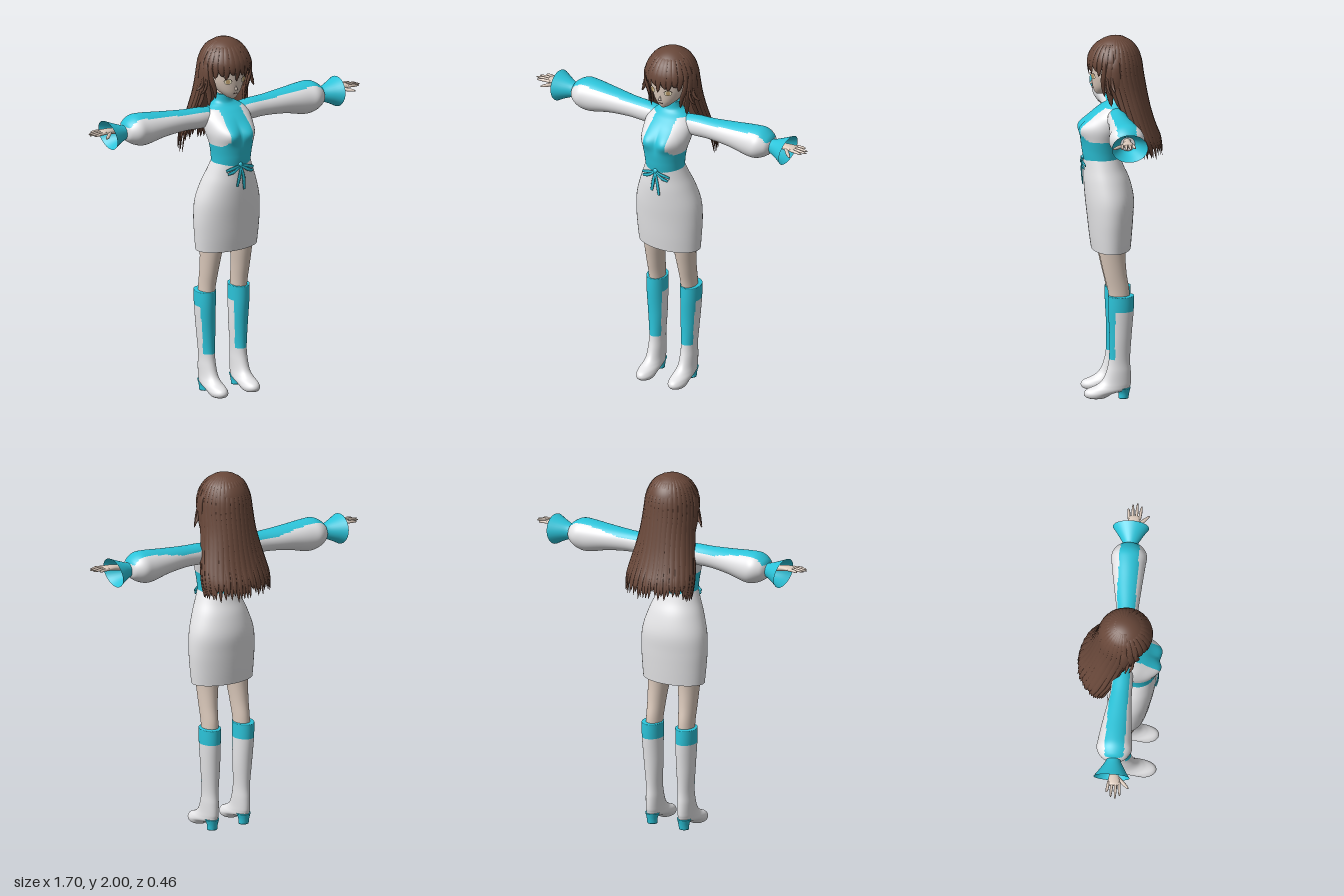
import * as THREE from 'three';

const mat = (name, color, side = THREE.FrontSide) =>
  Object.assign(new THREE.MeshStandardMaterial({ color, side }), { name });
const white = mat('white cloth', 0xe6e6e8, THREE.DoubleSide);
const cyan = mat('cyan cloth', 0x2cc4da, THREE.DoubleSide);
const hairMat = mat('brown hair', 0x69483a, THREE.DoubleSide);
const skin = mat('skin', 0xdccabc);
const eyeMat = mat('pale eye', 0xeadfc0);
const irisMat = mat('amber iris', 0xb89a6a);
const dark = mat('dark line', 0x3c2a24);
const V = (x, y, z) => new THREE.Vector3(x, y, z);
const TAU = Math.PI * 2;
let seed = 7;
const rand = () => (seed = (seed * 16807) % 2147483647) / 2147483647;

// Skin rows of points into a tube; pick(centre) chooses a material index per face
function skinRows(name, rows, mats, { pick = () => 0, caps = true } = {}) {
  const n = rows[0].length, pts = rows.flat(), lists = mats.map(() => []);
  const face = (...ix) => {
    const mid = ix.reduce((s, i) => s.add(pts[i]), V(0, 0, 0)).divideScalar(ix.length);
    lists[pick(mid)].push(ix[0], ix[1], ix[2]);
    if (ix.length === 4) lists[pick(mid)].push(ix[0], ix[2], ix[3]);
  };
  for (let i = 0; i < rows.length - 1; i++) for (let j = 0; j < n; j++) {
    const a = i * n + j, b = i * n + (j + 1) % n;
    face(a, a + n, b + n, b);
  }
  if (caps) [0, rows.length - 1].forEach(r => {
    const k = pts.push(rows[r].reduce((s, p) => s.add(p), V(0, 0, 0)).divideScalar(n)) - 1;
    for (let j = 0; j < n; j++) {
      const a = r * n + j, b = r * n + (j + 1) % n;
      if (r) face(a, k, b); else face(a, b, k);
    }
  });
  const g = new THREE.BufferGeometry().setFromPoints(pts).setIndex(lists.flat());
  if (mats.length > 1) lists.reduce((at, l, i) => { g.addGroup(at, l.length, i); return at + l.length; }, 0);
  g.computeVertexNormals();
  return named(name, new THREE.Mesh(g, mats.length > 1 ? mats : mats[0]));
}
const named = (name, mesh) => Object.assign(mesh, { name });

// Smoothly interpolate between stations (rows of numbers)
function smooth(st, steps) {
  const at = i => st[Math.max(0, Math.min(st.length - 1, i))];
  return Array.from({ length: (st.length - 1) * steps + 1 }, (_, m) => {
    const i = Math.floor(m / steps), t = (m % steps) / steps;
    const [p, a, b, q] = [at(i - 1), at(i), at(i + 1), at(i + 2)];
    return a.map((v, j) => {
      const c3 = 3 * (v - b[j]) + q[j] - p[j], c2 = 2 * p[j] - 5 * v + 4 * b[j] - q[j];
      return v + 0.5 * t * (b[j] - p[j] + t * (c2 + t * c3));
    });
  });
}

// Elliptical loft: axis y uses [y, xc, rx, zc, rz]; axis x uses [x, yc, ry, zc, rz]
function loft(name, axis, st, mats, { n = 32, steps = 5, deform = p => p, ...opt } = {}) {
  const rows = smooth(st, steps).map(([t, ca, ra, cb, rb]) => Array.from({ length: n }, (_, j) => {
    const c = Math.cos(j / n * TAU), s = Math.sin(j / n * TAU);
    return deform(axis === 'y' ? V(ca + ra * c, t, cb + rb * s) : V(t, ca + ra * s, cb + rb * c));
  }));
  return skinRows(name, rows, mats, opt);
}

// Flattened strip along a curve; root and tip scale its width at the two ends
function strand(name, pts, w, th, m, { out, tip = 0.04, steps = 12, root = 0.55 } = {}) {
  const curve = new THREE.CatmullRomCurve3(pts);
  const rows = Array.from({ length: steps + 1 }, (_, i) => {
    const t = i / steps, p = curve.getPoint(t), T = curve.getTangent(t);
    const O = out || p.clone().sub(V(0, Math.min(p.y, 1.85), 0.03));
    const A = T.clone().cross(O).normalize(), N = A.clone().cross(T);
    const f = t < 0.6 ? root + (1 - root) * t / 0.6 : tip + (1 - tip) * Math.sqrt(Math.max(0, (1 - t) / 0.4));
    return Array.from({ length: 8 }, (_, j) => p.clone().addScaledVector(A, w * f * Math.cos(j / 8 * TAU))
      .addScaledVector(N, th * f * Math.sin(j / 8 * TAU)));
  });
  return skinRows(name, rows, [m]);
}

// Add a mesh and its mirror image across x = 0
function addPair(group, mesh) {
  mesh.updateMatrix();
  const g = mesh.geometry.clone().applyMatrix4(mesh.matrix).scale(-1, 1, 1), ix = g.index.array;
  for (let i = 0; i < ix.length; i += 3) [ix[i], ix[i + 1]] = [ix[i + 1], ix[i]];
  group.add(named('right ' + mesh.name, new THREE.Mesh(g, mesh.material)), named('left ' + mesh.name, mesh));
}

function addBody(g) {
  // Bodice with belt, front panel and collar
  const bust = p => {
    const d = ((Math.abs(p.x) - 0.06) / 0.06) ** 2 + ((p.y - 1.495) / 0.05) ** 2;
    if (p.z > 0.09) p.z += 0.04 * Math.min(1, (p.z - 0.09) / 0.06) * Math.exp(-d);
    return p;
  };
  g.add(loft('bodice', 'y', [
    [1.3, 0, 0.106, 0.108, 0.095], [1.32, 0, 0.108, 0.108, 0.1], [1.37, 0, 0.112, 0.11, 0.107],
    [1.43, 0, 0.122, 0.108, 0.113], [1.5, 0, 0.138, 0.085, 0.117], [1.56, 0, 0.137, 0.062, 0.105],
    [1.6, 0, 0.115, 0.045, 0.08], [1.625, 0, 0.08, 0.033, 0.055], [1.645, 0, 0.053, 0.03, 0.045],
    [1.685, 0, 0.046, 0.032, 0.042]], [white, cyan], { n: 96, steps: 8, deform: bust,
    pick: p => +(p.y < 1.43 || p.y > 1.61 || (p.z > 0.05 && Math.abs(p.x) < 0.066 + Math.max(0, 1.46 - p.y))) }));
  g.add(loft('skirt', 'y', [
    [0.82, 0, 0.183, 0.06, 0.107], [0.9, 0, 0.19, 0.062, 0.116], [1, 0, 0.195, 0.064, 0.125],
    [1.1, 0, 0.188, 0.068, 0.132], [1.2, 0, 0.158, 0.083, 0.124], [1.27, 0, 0.13, 0.098, 0.108],
    [1.325, 0, 0.109, 0.108, 0.099]], [white], { n: 48, caps: false }));
  g.add(loft('neck', 'y', [[1.6, 0, 0.036, 0.032, 0.036], [1.76, 0, 0.036, 0.04, 0.036]], [skin]));
  // Waist bow
  const knot = new THREE.SphereGeometry(0.014, 16, 10).scale(1, 1, 0.7).translate(0, 1.322, 0.212);
  g.add(named('bow knot', new THREE.Mesh(knot, cyan)));
  const ribbon = (n, pts) => strand(n, pts, 0.01, 0.004, cyan, { out: V(0, 0, 1), tip: 0.7, root: 0.5 });
  addPair(g, ribbon('bow upper loop', [V(0, 1.322, 0.215), V(0.045, 1.31, 0.217), V(0.085, 1.295, 0.203)]));
  addPair(g, ribbon('bow lower loop', [V(0, 1.318, 0.215), V(0.04, 1.292, 0.219), V(0.078, 1.277, 0.21)]));
  g.add(ribbon('bow tail', [V(0, 1.32, 0.214), V(-0.008, 1.27, 0.218), V(-0.022, 1.2, 0.214)]));
  g.add(ribbon('bow tail', [V(0, 1.32, 0.214), V(0.014, 1.26, 0.218), V(0.023, 1.18, 0.214)]));
}

function addLimbs(g) {
  // Full sleeve with a stripe along the top, then a flared cuff
  addPair(g, loft('sleeve', 'x', [
    [0.06, 1.56, 0.05, 0.035, 0.045], [0.15, 1.564, 0.058, 0.035, 0.056], [0.25, 1.567, 0.058, 0.032, 0.06],
    [0.38, 1.566, 0.069, 0.025, 0.076], [0.5, 1.559, 0.088, 0.02, 0.091], [0.56, 1.563, 0.082, 0.02, 0.095],
    [0.605, 1.563, 0.056, 0.02, 0.068], [0.622, 1.56, 0.033, 0.02, 0.035]], [white, cyan],
  { n: 64, steps: 6, pick: p => +(p.y > 1.595 && Math.abs(p.z - 0.022) < 0.052) }));
  addPair(g, loft('cuff', 'x', [[0.605, 1.558, 0.036, 0.02, 0.034], [0.635, 1.558, 0.044, 0.02, 0.045],
    [0.68, 1.558, 0.062, 0.018, 0.072], [0.718, 1.558, 0.08, 0.017, 0.098]], [cyan],
  { caps: false, deform: p => p.setX(p.x + (p.y - 1.558) * 0.15 * (p.x - 0.6) / 0.118) }));
  // Hand
  addPair(g, loft('palm', 'x', [
    [0.6, 1.568, 0.02, 0.022, 0.022], [0.68, 1.58, 0.017, 0.026, 0.02], [0.72, 1.586, 0.015, 0.03, 0.027],
    [0.76, 1.588, 0.012, 0.032, 0.034], [0.775, 1.588, 0.008, 0.032, 0.032]], [skin], { n: 20 }));
  const digit = (name, pts, r) => addPair(g, strand(name, pts, r, r, skin, { out: V(0, 1, 0), tip: 0.3, root: 1 }));
  [[0.004, -0.004, 0.815], [0.023, 0.02, 0.84], [0.042, 0.044, 0.848], [0.06, 0.068, 0.832]].forEach(([z0, z1, x]) =>
    digit('finger', [V(0.755, 1.588, z0), V(0.79, 1.589, (z0 + z1) / 2), V(x, 1.586, z1)], 0.008));
  digit('thumb', [V(0.72, 1.582, 0.045), V(0.75, 1.578, 0.078), V(0.783, 1.575, 0.112)], 0.01);
  addPair(g, loft('leg', 'y', [
    [0.5, 0.102, 0.042, 0.018, 0.052], [0.6, 0.1, 0.043, 0.026, 0.058], [0.7, 0.098, 0.048, 0.045, 0.062],
    [0.82, 0.094, 0.058, 0.06, 0.072], [0.98, 0.092, 0.072, 0.064, 0.09]], [skin]));
  // Tall boot with coloured top band and shin panel
  addPair(g, loft('boot', 'y', [
    [0.004, 0.1, 0.034, 0.145, 0.046], [0.012, 0.1, 0.044, 0.145, 0.062], [0.03, 0.1, 0.05, 0.132, 0.082],
    [0.05, 0.1, 0.05, 0.088, 0.112], [0.072, 0.1, 0.046, 0.056, 0.094], [0.1, 0.1, 0.043, 0.037, 0.078],
    [0.15, 0.1, 0.042, 0.026, 0.066], [0.22, 0.1, 0.041, 0.021, 0.057], [0.35, 0.102, 0.05, 0.016, 0.06],
    [0.49, 0.106, 0.055, 0.014, 0.069], [0.575, 0.106, 0.056, 0.014, 0.07]], [white, cyan],
  { n: 64, steps: 8, pick: p => +(p.y > 0.49 || (p.y > 0.22 && p.z > 0.048)) }));
  addPair(g, loft('boot heel', 'y', [
    [0, 0.1, 0.028, 0, 0.027], [0.03, 0.1, 0.03, -0.002, 0.03], [0.06, 0.1, 0.04, 0.003, 0.042]], [cyan]));
}

function addHead(g) {
  g.add(loft('head', 'y', [
    [1.677, 0, 0.012, 0.122, 0.016], [1.69, 0, 0.034, 0.105, 0.043], [1.72, 0, 0.065, 0.085, 0.073],
    [1.76, 0, 0.088, 0.068, 0.095], [1.8, 0, 0.098, 0.06, 0.106], [1.85, 0, 0.1, 0.055, 0.112],
    [1.92, 0, 0.085, 0.045, 0.1], [1.965, 0, 0.04, 0.04, 0.05]], [skin], { n: 40 }));
  const nose = new THREE.ConeGeometry(0.009, 0.03, 10).rotateX(-0.25).translate(0, 1.748, 0.163);
  const mouth = new THREE.BoxGeometry(0.022, 0.0025, 0.004).translate(0, 1.712, 0.157);
  g.add(named('nose', new THREE.Mesh(nose, skin)), named('mouth', new THREE.Mesh(mouth, dark)));
  // Eyes as thin plates
  const plate = (name, geo, m, d) => addPair(g, named(name, new THREE.Mesh(
    geo.rotateY(0.5).translate(0.046 + d * 0.5, 1.785, 0.156 + d * 0.87), m)));
  plate('eye', new THREE.CircleGeometry(0.022, 24).scale(1, 0.7, 1), eyeMat, 0.004);
  plate('iris', new THREE.CircleGeometry(0.011, 20).scale(1, 1.25, 1), irisMat, 0.0055);
  plate('lash', new THREE.RingGeometry(0.021, 0.025, 20, 1, 0.25, Math.PI - 0.5).scale(1, 0.75, 1), dark, 0.006);
}

function addHair(g) {
  const cap = new THREE.SphereGeometry(1, 48, 20, 0, TAU, 0, 1.25).scale(0.137, 0.146, 0.143).translate(0, 1.85, 0.036);
  g.add(named('hair cap', new THREE.Mesh(cap, hairMat)));
  // Back hair profile: [y, rx, zc, rz]
  const prof = smooth([[1.985, 0.05, 0.035, 0.05], [1.95, 0.102, 0.035, 0.1], [1.88, 0.136, 0.035, 0.135],
    [1.8, 0.146, 0.03, 0.142], [1.7, 0.15, 0.002, 0.13], [1.6, 0.165, -0.03, 0.118], [1.5, 0.188, -0.06, 0.12],
    [1.42, 0.2, -0.085, 0.127], [1.34, 0.198, -0.095, 0.127]], 4);
  const onHair = (a, [y, rx, zc, rz], r) => V(rx * r * Math.sin(a), y, zc - rz * r * Math.cos(a));
  // Underlying curtain: an arc swept out and back to make a thin shell
  const arc = Array.from({ length: 30 }, (_, i) => -1.75 + 3.5 * i / 29);
  const rows = prof.slice(0, 28).reverse().map(s =>
    [...arc.map(a => onHair(a, s, 0.97)), ...arc.map(a => onHair(-a, s, 0.9))]);
  g.add(skinRows('back hair', rows, [hairMat], { caps: false }));
  // Long locks over the curtain
  for (let layer = 0; layer < 2; layer++) for (let i = 0; i < 19; i++) {
    const a = -1.72 + 3.44 * (i + layer * 0.5) / 18.5, end = 32 - Math.floor(rand() * 3) - layer;
    const pts = [0, 4, 8, 12, 16, 20, 24, 27, end].map((k, j) =>
      onHair(a * (j > 6 ? 0.975 + rand() * 0.05 : 1), prof[k], 0.985 + layer * 0.012));
    g.add(strand('long lock', pts, 0.024, 0.008, hairMat, { steps: 22, root: 0.35 }));
  }
  // Fringe
  [1.74, 1.76, 1.8, 1.815, 1.795, 1.82, 1.785, 1.81, 1.8, 1.82, 1.795, 1.77, 1.735].forEach((y, i) => {
    const a = (i - 6) / 6 * 1.3, b = a + (i % 2 ? 0.07 : -0.05);
    const at = (q, r, h) => V(0.138 * r * Math.sin(q), h, 0.036 + 0.145 * r * Math.cos(q));
    g.add(strand('fringe lock', [at(a, 0.25, 1.985), at(a, 0.68, 1.955), at(a, 0.95, 1.9), at(a, 1.02, 1.85),
      at(b, 0.98, y)], 0.022, 0.006, hairMat, { root: 0.4 }));
  });
  // Side locks framing the face
  const side = (w, pts) => addPair(g, strand('side lock', pts.map(p => V(...p)), w, 0.009, hairMat, { steps: 16 }));
  side(0.024, [[0.1, 1.94, 0.07], [0.134, 1.87, 0.075], [0.138, 1.79, 0.08], [0.118, 1.7, 0.075], [0.11, 1.63, 0.065]]);
  side(0.03, [[0.1, 1.94, 0.04], [0.14, 1.87, 0.045], [0.147, 1.78, 0.045], [0.138, 1.69, 0.035], [0.142, 1.6, 0]]);
  side(0.016, [[0.09, 1.94, 0.1], [0.125, 1.87, 0.105], [0.122, 1.8, 0.11], [0.103, 1.74, 0.11], [0.09, 1.68, 0.1]]);
  side(0.009, [[0.135, 1.86, 0.06], [0.147, 1.79, 0.065], [0.157, 1.75, 0.06], [0.183, 1.725, 0.05]]);
  side(0.008, [[0.135, 1.84, 0.08], [0.14, 1.78, 0.09], [0.15, 1.735, 0.085], [0.17, 1.705, 0.07]]);
}

export function createModel() {
  const model = named('figure', new THREE.Group());
  Object.entries({ body: addBody, limbs: addLimbs, head: addHead, hair: addHair }).forEach(([name, build]) => {
    const part = named(name, new THREE.Group());
    build(part);
    model.add(part);
  });
  return model;
}
